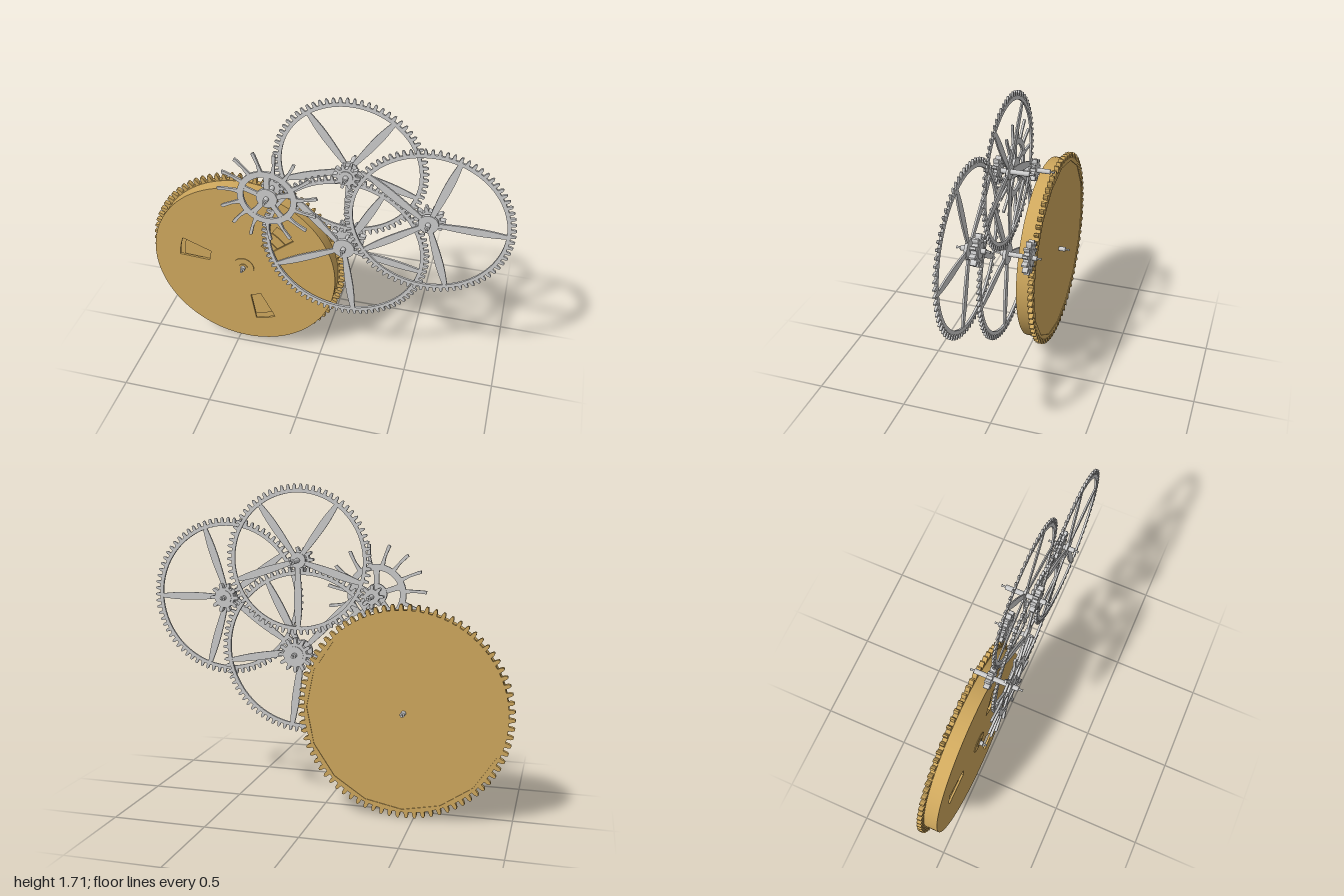
import * as THREE from 'three';

const steel = new THREE.MeshStandardMaterial({ color: 0xcccccc });
const brass = new THREE.MeshStandardMaterial({ color: 0xcfa85d });
const TAU = Math.PI * 2;
const polar = (r, a) => new THREE.Vector2(r * Math.cos(a), r * Math.sin(a));

function add(group, name, geometry, material = steel) {
  const mesh = new THREE.Mesh(geometry, material);
  mesh.name = name;
  group.add(mesh);
  return mesh;
}

// Flat plate cut from shapes, lying between two z planes
function plate(shapes, z0, z1) {
  return new THREE.ExtrudeGeometry(shapes, { depth: z1 - z0, bevelEnabled: false, curveSegments: 72 })
    .translate(0, 0, z0);
}

// Round disc along z
function disc(r, z0, z1, sides = 32) {
  return new THREE.CylinderGeometry(r, r, z1 - z0, sides).rotateX(Math.PI / 2).translate(0, 0, (z0 + z1) / 2);
}

function circleHole(r, sides = 96) {
  const pts = [];
  for (let i = 0; i < sides; i++) pts.push(polar(r, -i / sides * TAU));
  return new THREE.Path(pts);
}

// Toothed outline with tapered, rounded tips
function gearShape(teeth, root, tip) {
  const pts = [], step = TAU / teeth;
  const profile = [[root, -0.27], [root + (tip - root) * 0.65, -0.22], [tip, -0.1],
    [tip, 0.1], [root + (tip - root) * 0.65, 0.22], [root, 0.27]];
  for (let i = 0; i < teeth; i++)
    for (const [r, f] of profile) pts.push(polar(r, (i + f) * step));
  return new THREE.Shape(pts);
}

// Leaf-shaped spoke, slim at both ends
function spokeShape(angle, r0, r1, w0, wMid, w1) {
  const s = new THREE.Shape(), pts = [], n = 10;
  const width = t => (t < 0.6
    ? THREE.MathUtils.lerp(w0, wMid, Math.sin(t / 0.6 * Math.PI / 2))
    : THREE.MathUtils.lerp(wMid, w1, 1 - Math.cos((t - 0.6) / 0.4 * Math.PI / 2))) / 2;
  for (let i = 0; i <= n; i++) pts.push(new THREE.Vector2(r0 + (r1 - r0) * i / n, -width(i / n)));
  for (let i = n; i >= 0; i--) pts.push(new THREE.Vector2(r0 + (r1 - r0) * i / n, width(i / n)));
  const o = new THREE.Vector2();
  return s.setFromPoints(pts.map(p => p.rotateAround(o, angle)));
}

// Arbor with a thin pivot and a small end at each side
function addArbor(group, z0, z1) {
  add(group, 'arbor', disc(0.013, z0 + 0.022, z1 - 0.022, 16));
  add(group, 'pivots', disc(0.005, z0, z1, 12));
  for (const z of [z0, z1 - 0.004]) add(group, 'pivotEnd', disc(0.007, z, z + 0.004, 12));
}

// Spoked train wheel with its pinion and arbor
function trainWheel(o) {
  const g = new THREE.Group();
  g.name = o.name;
  g.position.set(o.x, o.y, 0);
  const rim = gearShape(o.teeth, o.r - 0.026, o.r);
  rim.holes.push(circleHole(o.r - 0.045));
  const [z0, z1] = o.wheelZ;
  add(g, 'toothedRim', plate(rim, z0, z1));
  const spokes = [];
  for (let i = 0; i < 5; i++)
    spokes.push(spokeShape(o.spokeAngle * Math.PI / 180 + i * TAU / 5, 0.025, o.r - 0.038, 0.02, 0.042, 0.022));
  add(g, 'spokes', plate(spokes, z0 + 0.001, z1 - 0.001));
  add(g, 'hub', disc(o.hub, z0 - 0.002, z1 + 0.002));
  add(g, 'pinion', plate(gearShape(o.leaves, o.pinionR * 0.68, o.pinionR), ...o.pinionZ));
  add(g, 'pinionCollar', disc(o.pinionR * 0.5, o.pinionZ[0] - 0.004, o.pinionZ[1] + 0.004));
  addArbor(g, ...o.arborZ);
  return g;
}

// Barrel: toothed rim, drum and pierced cover showing the coiled spring
function barrel() {
  const g = new THREE.Group();
  g.name = 'barrel';
  g.position.set(-0.44, 0.565, 0);
  const rim = gearShape(78, 0.53, 0.561);
  rim.holes.push(circleHole(0.515, 16));
  add(g, 'toothedRim', plate(rim, -0.107, -0.082), brass);
  add(g, 'backPlate', disc(0.522, -0.103, -0.083, 96), brass);

  const wall = new THREE.CylinderGeometry(0.524, 0.524, 0.075, 96, 1, true)
    .rotateX(Math.PI / 2).translate(0, 0, -0.0455);
  add(g, 'drumWall', wall, brass);

  const cover = new THREE.Shape(circleHole(0.524).getPoints().reverse());
  for (const deg of [168, 288, 48]) {
    const a = deg * Math.PI / 180, h = 0.16, pts = [];
    for (let i = 0; i <= 6; i++) pts.push(polar(0.375, a + h - i * h / 3));
    for (let i = 0; i <= 6; i++) pts.push(polar(0.2, a - h + i * h / 3));
    cover.holes.push(new THREE.Path(pts));
  }
  add(g, 'cover', plate(cover, -0.02, -0.008), brass);

  // Spring coils rise in steps toward the centre
  [0.36, 0.3, 0.245].forEach((r, i) =>
    add(g, 'springCoil', disc(r, -0.084, -0.036 + i * 0.006, 64), brass));
  add(g, 'coverBoss', disc(0.06, -0.01, -0.004), brass);
  add(g, 'arborSeat', disc(0.024, -0.006, 0), brass);
  addArbor(g, -0.163, 0.04);
  return g;
}

// Escape wheel with long hooked teeth
function escapeWheel() {
  const g = new THREE.Group();
  g.name = 'escapeWheel';
  g.position.set(-0.249, 1.145, 0);
  const z0 = 0.096, z1 = 0.108;
  const ring = new THREE.Shape(circleHole(0.158).getPoints().reverse());
  ring.holes.push(circleHole(0.125));
  add(g, 'ring', plate(ring, z0, z1));
  const teeth = [], spokes = [];
  for (let i = 0; i < 15; i++) {
    const a = (i + 0.25) / 15 * TAU;
    teeth.push(new THREE.Shape([
      [0.148, -0.1], [0.2, -0.035], [0.252, 0], [0.268, 0.02], [0.262, 0.075], [0.245, 0.065], [0.2, 0.035], [0.148, 0.06],
    ].map(([r, f]) => polar(r, a + f))));
  }
  for (let i = 0; i < 5; i++)
    spokes.push(spokeShape(0.3 + i * TAU / 5, 0.02, 0.132, 0.026, 0.028, 0.034));
  add(g, 'teeth', plate(teeth, z0, z1));
  add(g, 'spokes', plate(spokes, z0 + 0.001, z1 - 0.001));
  add(g, 'hub', disc(0.056, z0 - 0.002, z1 + 0.002));
  add(g, 'pinion', plate(gearShape(8, 0.04, 0.062), -0.022, 0.008));
  addArbor(g, -0.117, 0.163);
  return g;
}

export function createModel() {
  const model = new THREE.Group();
  model.name = 'gearTrain';
  model.add(barrel());
  model.add(trainWheel({
    name: 'centreWheel', x: 0.136, y: 0.838, r: 0.45, teeth: 80, spokeAngle: 62, hub: 0.058,
    wheelZ: [0.015, 0.028], leaves: 12, pinionR: 0.092, pinionZ: [-0.112, -0.082], arborZ: [-0.162, 0.08],
  }));
  model.add(trainWheel({
    name: 'thirdWheel', x: 0.57, y: 1.108, r: 0.428, teeth: 75, spokeAngle: -1, hub: 0.052,
    wheelZ: [0.057, 0.068], leaves: 10, pinionR: 0.08, pinionZ: [0.006, 0.036], arborZ: [-0.043, 0.124],
  }));
  model.add(trainWheel({
    name: 'fourthWheel', x: 0.152, y: 1.32, r: 0.395, teeth: 70, spokeAngle: 54, hub: 0.042,
    wheelZ: [-0.003, 0.006], leaves: 10, pinionR: 0.07, pinionZ: [0.048, 0.076], arborZ: [-0.124, 0.132],
  }));
  model.add(escapeWheel());
  return model;
}
